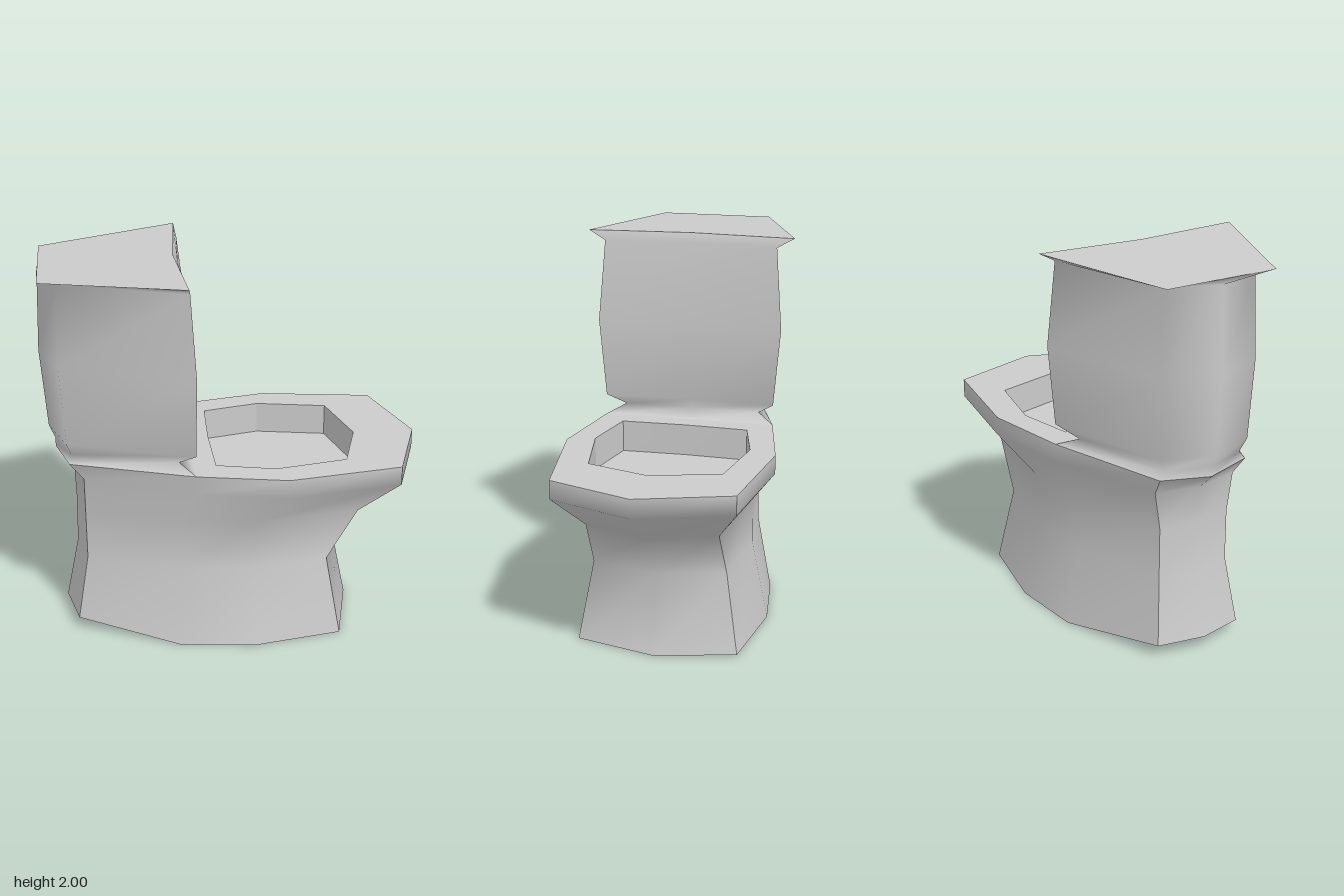
import * as THREE from 'three';

const material = new THREE.MeshStandardMaterial({ color: 0xcccccc, side: THREE.DoubleSide });

// Mirrors half a ring (front centre -> +z side -> back centre) into a closed ring.
function fullRing(half) {
  const other = half.slice(1, -1).reverse().map(([x, y, z]) => [x, y, -z]);
  return [...half, ...other];
}

// Skins consecutive half rings, smooth except along the sharp columns.
// Flat caps fan out from the back centre point.
function loft(name, halves, { sharp = [], capStart = false, capEnd = false } = {}) {
  const rings = halves.map(fullRing);
  const n = rings[0].length;
  const back = halves[0].length - 1;
  const columns = rings[0].flatMap((_, j) => sharp.includes(Math.min(j, n - j)) ? [j, j] : [j]);
  const m = columns.length;
  const points = rings.flatMap((ring) => columns.map((j) => ring[j]));
  const index = [];
  for (let i = 0; i < rings.length - 1; i++) {
    for (let j = 0; j < m; j++) {
      const next = (j + 1) % m;
      if (columns[j] === columns[next]) continue;
      const a = i * m + j, b = i * m + next;
      index.push(a, a + m, b, b, a + m, b + m);
    }
  }
  const cap = (ring, up) => {
    const start = points.length;
    points.push(...ring);
    for (let k = 1; k < n - 1; k++) {
      const p = start + (back + k) % n, q = start + (back + k + 1) % n;
      if (up) index.push(start + back, q, p);
      else index.push(start + back, p, q);
    }
  };
  if (capStart) cap(rings[0], false);
  if (capEnd) cap(rings[rings.length - 1], true);
  const geometry = new THREE.BufferGeometry();
  geometry.setAttribute('position', new THREE.Float32BufferAttribute(points.flat(), 3));
  geometry.setIndex(index);
  geometry.computeVertexNormals();
  const mesh = new THREE.Mesh(geometry, material);
  mesh.name = name;
  return mesh;
}

// Half ring at one height from [x, z] pairs.
const level = (y, points) => points.map(([x, z]) => [x, y, z]);

export function createModel() {
  const group = new THREE.Group();
  group.name = 'toilet';

  // Pedestal: waisted foot flaring to the bowl rim, heel slightly raised
  const rim = [[0.975, 0.02], [0.825, 0.46], [0.24, 0.55], [-0.22, 0.46]];
  group.add(loft('pedestal', [
    [[0.64, 0, 0], [0.54, 0, 0.42], [0.08, 0, 0.5], [-0.31, 0, 0.455], [-0.84, 0.07, 0.24], [-0.9, 0.08, 0]],
    level(0.42, [[0.555, 0], [0.47, 0.35], [0.06, 0.41], [-0.3, 0.38], [-0.78, 0.2], [-0.83, 0]]),
    level(0.69, [[0.74, 0], [0.63, 0.34], [0.1, 0.41], [-0.28, 0.38], [-0.78, 0.2], [-0.825, 0]]),
    level(0.89, [...rim, [-0.78, 0.23], [-0.83, 0]]),
    [...level(0.99, rim), [-0.85, 0.99, 0.25], [-0.92, 0.98, 0]],
  ], { sharp: [1, 4], capStart: true }));

  // Seat deck, basin wall and basin floor
  const basin = [[0.655, 0.02], [0.56, 0.34], [0.19, 0.41], [-0.11, 0.34], [-0.12, 0]];
  group.add(loft('seatDeck', [
    level(0.99, [...rim, [-0.22, 0]]),
    level(0.99, basin),
  ]));
  group.add(loft('basin', [level(0.99, basin), level(0.82, basin)], { sharp: [0, 1, 2, 3], capEnd: true }));

  // Cistern: pinched neck, bulging wedge with a pointed back, flaring out to the lid
  const lid = [[-0.29, 2, 0], [-0.25, 2, 0.55], [-0.96, 1.975, 0.3], [-0.96, 1.975, 0]];
  group.add(loft('cistern', [
    [[-0.22, 0.99, 0], [-0.22, 0.99, 0.46], [-0.85, 0.99, 0.25], [-0.92, 0.98, 0]],
    level(1.03, [[-0.3, 0], [-0.3, 0.37], [-0.84, 0.22], [-0.92, 0]]),
    level(1.1, [[-0.23, 0], [-0.22, 0.46], [-0.86, 0.25], [-0.95, 0]]),
    level(1.52, [[-0.205, 0], [-0.215, 0.495], [-0.88, 0.265], [-0.98, 0]]),
    level(1.95, [[-0.265, 0], [-0.24, 0.46], [-0.87, 0.25], [-0.965, 0]]),
    lid,
  ], { sharp: [1] }));

  // Lid plate, notched at the middle of its front edge
  group.add(loft('cisternLid', [lid], { capEnd: true }));

  return group;
}
